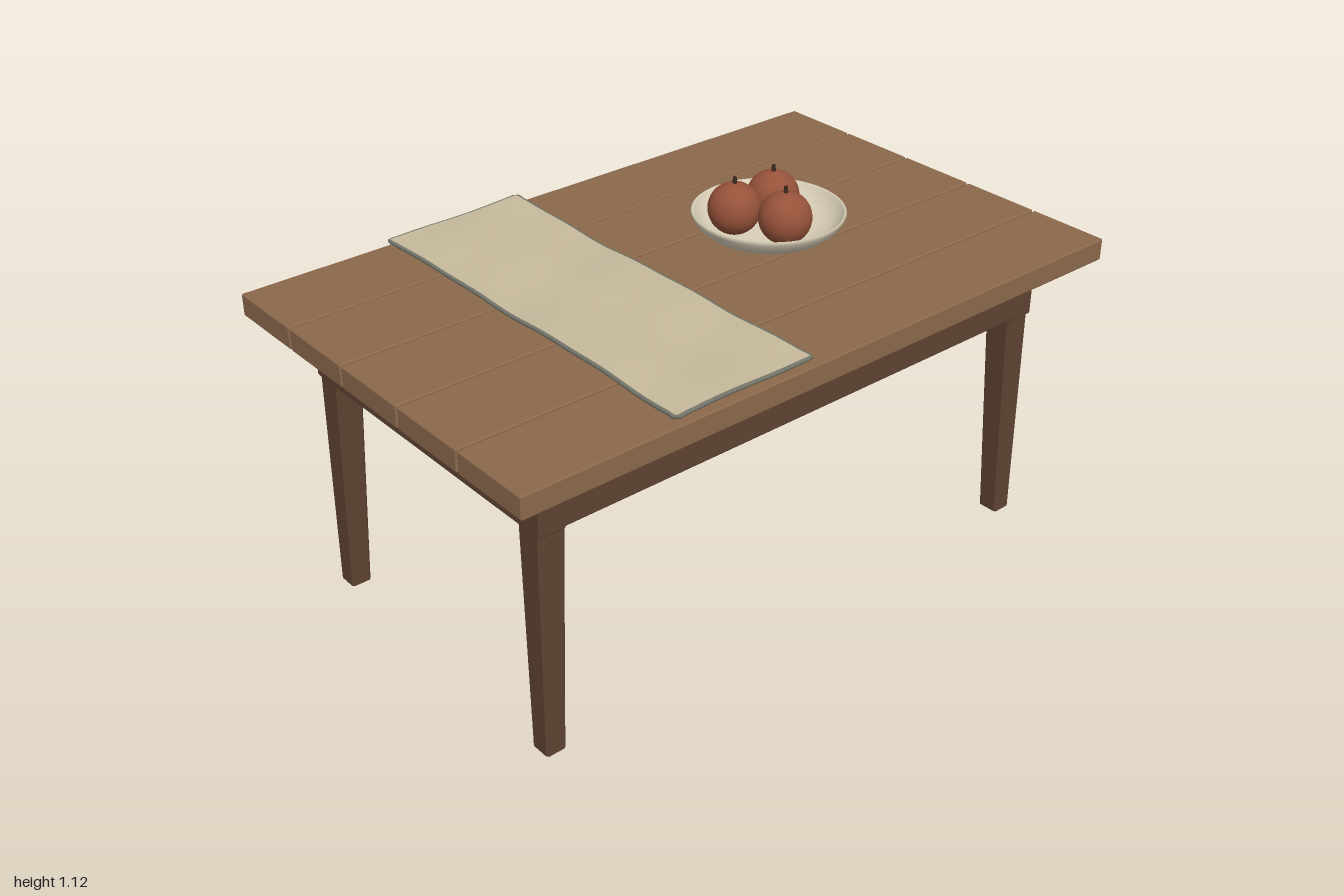
import * as THREE from 'three';
import { RoundedBoxGeometry } from 'three/addons/geometries/RoundedBoxGeometry.js';

const mat = (color, extra = {}) => new THREE.MeshStandardMaterial({ color, ...extra });

export function createModel() {
  const root = new THREE.Group();
  const plankWood = mat(0x8b694c), frameWood = mat(0x5f4232);
  const legWood = mat(0x5f4232, { flatShading: true });
  const linen = mat(0xc6b99c), hemGrey = mat(0x74766a);
  const cream = mat(0xd9cfb8, { side: THREE.DoubleSide });
  const fruitRed = mat(0x96523a), stemBrown = mat(0x3e2a20);

  const add = (name, geometry, material, x = 0, y = 0, z = 0, parent = root) => {
    const mesh = new THREE.Mesh(geometry, material);
    mesh.name = name;
    mesh.position.set(x, y, z);
    parent.add(mesh);
    return mesh;
  };

  // Table top: five planks with narrow gaps
  const plank = new RoundedBoxGeometry(2, 0.065, 0.247, 2, 0.005);
  for (let i = -2; i <= 2; i++) add('plank', plank, plankWood, 0, 0.877, i * 0.2525);

  // Apron: full-depth end rails with long rails between them
  const endRail = new RoundedBoxGeometry(0.08, 0.157, 1.01, 2, 0.006);
  const longRail = new RoundedBoxGeometry(1.6, 0.155, 0.08, 2, 0.005);
  for (const s of [-1, 1]) {
    add('endRail', endRail, frameWood, s * 0.83, 0.747, 0);
    add('longRail', longRail, frameWood, 0, 0.747, s * 0.46);
  }

  // Tapered legs with chamfered edges; outer faces stay nearly upright
  const legGeometry = (sx, sz) => {
    const w = 0.5, c = 0.41;
    const outline = [[c, w], [-c, w], [-w, c], [-w, -c], [-c, -w], [c, -w], [w, -c], [w, c]];
    const shape = new THREE.Shape(outline.map(([x, y]) => new THREE.Vector2(x, y)));
    const g = new THREE.ExtrudeGeometry(shape, { depth: 1, bevelEnabled: false });
    g.rotateX(-Math.PI / 2);
    const p = g.attributes.position;
    for (let i = 0; i < p.count; i++) {
      const t = p.getY(i);
      const width = THREE.MathUtils.lerp(0.06, 0.085, t);
      const depth = THREE.MathUtils.lerp(0.064, 0.094, t);
      const outerX = THREE.MathUtils.lerp(0.873, 0.865, t);
      p.setXYZ(i,
        p.getX(i) * width + sx * (outerX - width / 2),
        t * 0.835,
        p.getZ(i) * depth + sz * (0.498 - depth / 2));
    }
    g.computeVertexNormals();
    return g;
  };
  for (const sx of [-1, 1]) for (const sz of [-1, 1]) add('leg', legGeometry(sx, sz), legWood);

  // Table runner: thin cloth with gentle ripples and a hem
  const ripple = (x, z) =>
    0.003 * Math.sin(z * 11 + x * 5) + 0.002 * Math.sin(x * 17 - z * 6) + 0.0015 * Math.cos(z * 23 + x * 9);
  const halfW = 0.215, halfL = 0.617;
  const runner = new THREE.Group();
  runner.name = 'tableRunner';
  runner.position.set(-0.33, 0.929, -0.003);
  root.add(runner);
  const cloth = new THREE.BoxGeometry(halfW * 2, 0.01, halfL * 2, 20, 1, 60);
  const cp = cloth.attributes.position;
  for (let i = 0; i < cp.count; i++) cp.setY(i, cp.getY(i) + ripple(cp.getX(i), cp.getZ(i)));
  cloth.computeVertexNormals();
  add('cloth', cloth, linen, 0, 0, 0, runner);
  const corners = [[-halfW, -halfL], [halfW, -halfL], [halfW, halfL], [-halfW, halfL]];
  const hemPoints = [];
  corners.forEach(([x, z], k) => {
    const [nx, nz] = corners[(k + 1) % 4];
    const steps = k % 2 ? 40 : 16;
    for (let i = 0; i < steps; i++) {
      const px = THREE.MathUtils.lerp(x, nx, i / steps), pz = THREE.MathUtils.lerp(z, nz, i / steps);
      hemPoints.push(new THREE.Vector3(px, ripple(px, pz), pz));
    }
  });
  const hemCurve = new THREE.CatmullRomCurve3(hemPoints, true);
  add('hem', new THREE.TubeGeometry(hemCurve, 260, 0.006, 8, true), hemGrey, 0, 0, 0, runner);

  // Shallow bowl, outer wall then inner wall
  const profile = [
    [0, 0.943], [0.115, 0.943], [0.135, 0.948], [0.175, 0.965], [0.2, 0.985], [0.211, 1.005], [0.215, 1.015],
    [0.211, 1.018], [0.205, 1.014], [0.195, 0.995], [0.17, 0.975], [0.13, 0.96], [0.08, 0.956], [0, 0.955],
  ].map(([r, y]) => new THREE.Vector2(r, y));
  add('bowl', new THREE.LatheGeometry(profile, 56), cream, 0.26, 0, 0.05);

  // Three round fruits with short stems
  const ball = new THREE.SphereGeometry(0.074, 32, 24);
  const stem = new THREE.CylinderGeometry(0.005, 0.007, 0.026, 8);
  for (const [x, z] of [[0.178, 0], [0.315, 0.007], [0.242, 0.135]]) {
    const fruit = new THREE.Group();
    fruit.name = 'fruit';
    fruit.position.set(x, 1.028, z);
    add('fruitBody', ball, fruitRed, 0, 0, 0, fruit);
    add('fruitStem', stem, stemBrown, 0, 0.079, 0, fruit);
    root.add(fruit);
  }

  return root;
}
